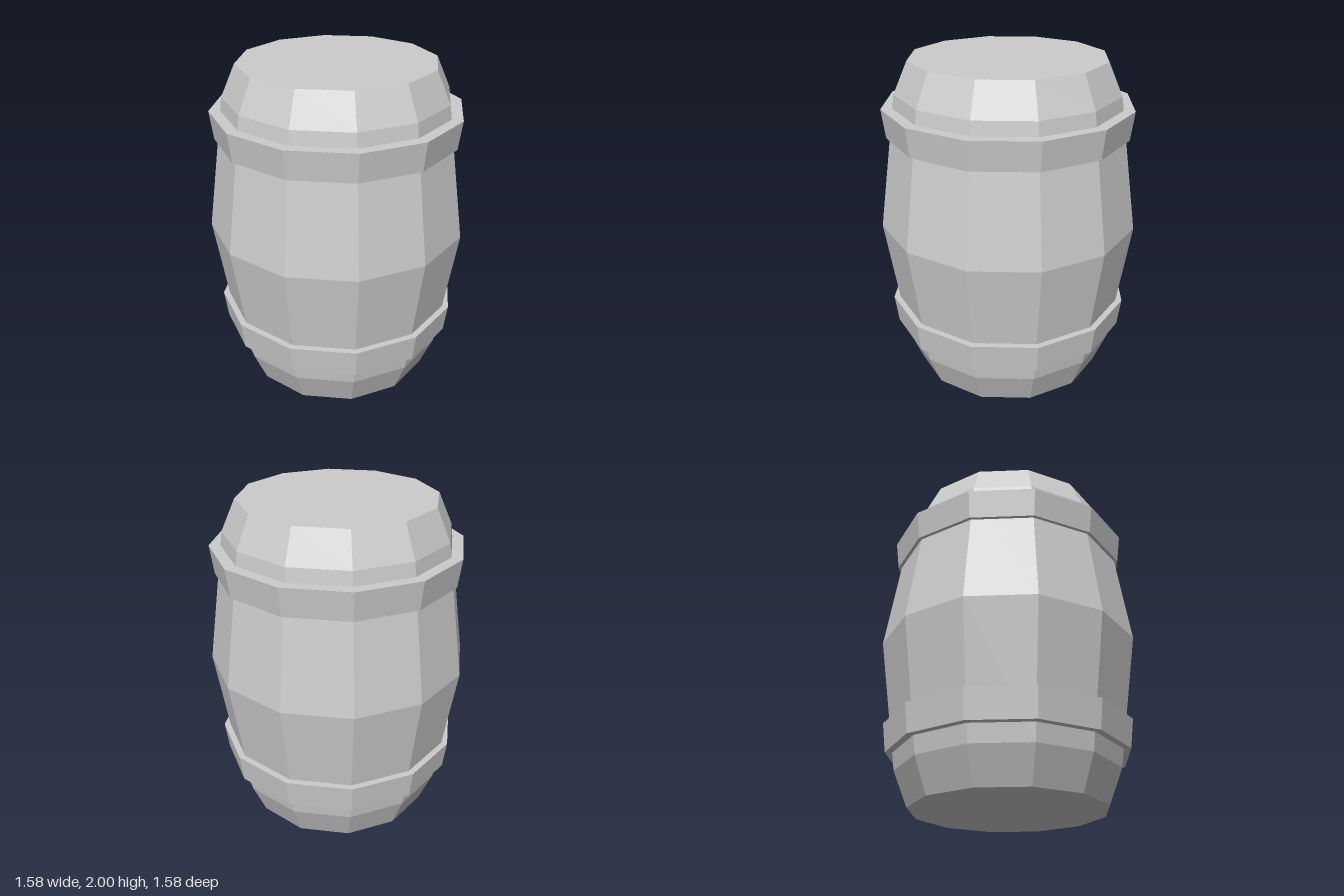
import * as THREE from 'three';

const SIDES = 12;

export function createModel() {
  const barrel = new THREE.Group();
  barrel.name = 'barrel';

  const grey = new THREE.MeshStandardMaterial({ color: 0xcccccc, flatShading: true });
  grey.name = 'grey';

  // Turn a [radius, height] profile, listed bottom to top, into a faceted part
  const turned = (name, profile, y = 0) => {
    const points = profile.map(([r, h]) => new THREE.Vector2(r, h));
    const mesh = new THREE.Mesh(new THREE.LatheGeometry(points, SIDES), grey);
    mesh.name = name;
    mesh.position.y = y;
    barrel.add(mesh);
  };

  // Bulging body with flat ends
  turned('body', [
    [0, 0], [0.587, 0], [0.672, 0.207], [0.79, 1], [0.672, 1.81], [0.587, 2], [0, 2],
  ]);

  // Two identical hoops, slightly wider at the top
  const hoop = [[0.66, 0], [0.73, 0], [0.752, 0.174], [0.66, 0.174]];
  turned('lowerHoop', hoop, 0.312);
  turned('upperHoop', hoop, 1.555);

  return barrel;
}
